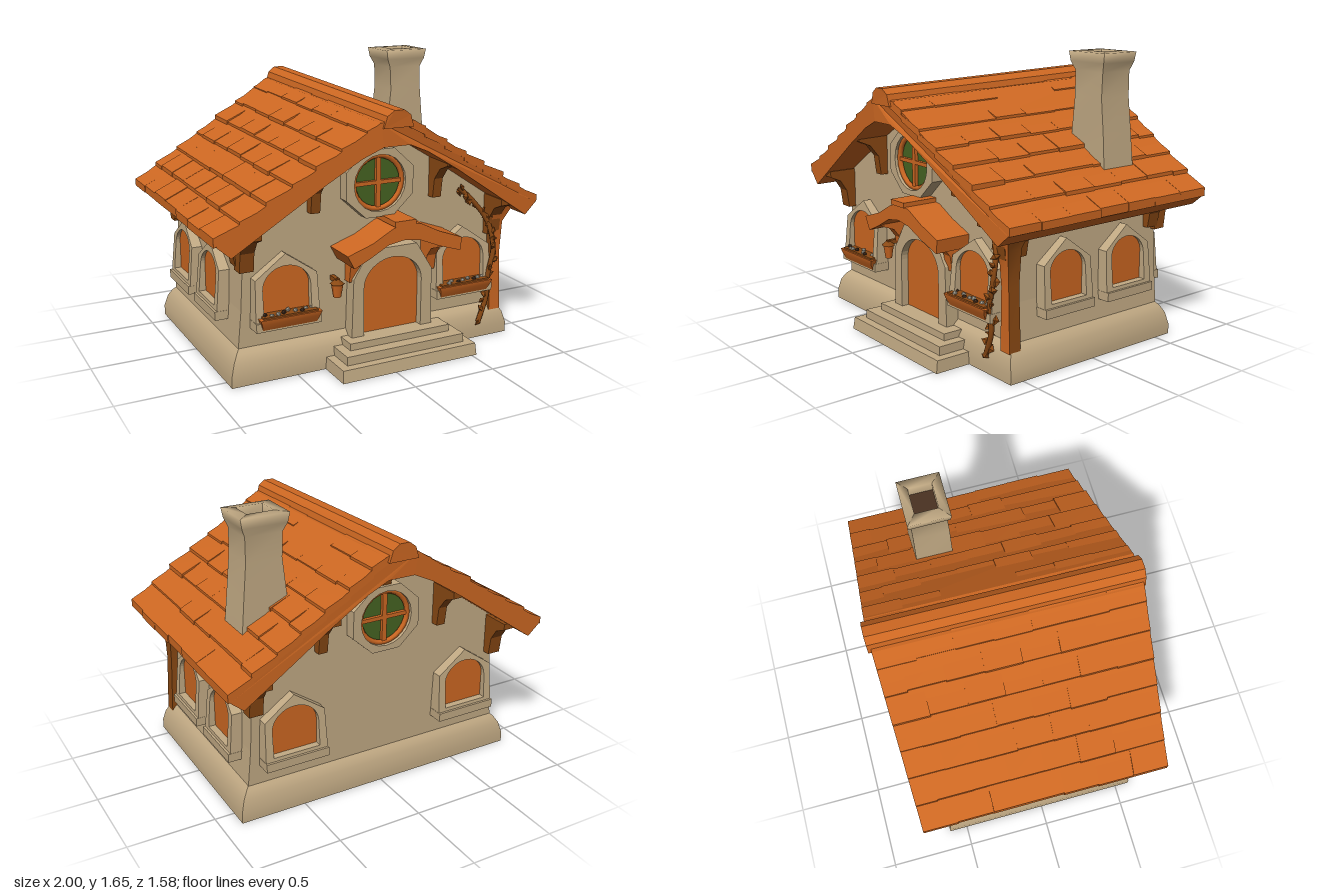
import * as THREE from 'three';

const mat = (name, color) => Object.assign(new THREE.MeshStandardMaterial({ color }), { name });
const plaster = mat('plaster', 0xc2aa84);
const orange = mat('orange tile and wood', 0xce6822);
const brown = mat('brown timber', 0x8c4a14);
const glass = mat('green glass', 0x466422);
const soot = mat('dark soot', 0x4a3222);
const petal = mat('pale petals', 0xbcb6a6);

let seed = 7;
const rnd = () => (seed = (seed * 16807) % 2147483647) / 2147483647 - 0.5;

function add(parent, name, geo, material, x = 0, y = 0, z = 0) {
  const m = new THREE.Mesh(geo, material);
  m.name = name;
  m.position.set(x, y, z);
  parent.add(m);
  return m;
}
const poly = pts => new THREE.Shape(pts.map(p => new THREE.Vector2(p[0], p[1])));
const extrude = (shape, depth) => new THREE.ExtrudeGeometry(shape, { depth, bevelEnabled: false, curveSegments: 10 });
const box = (w, h, d) => new THREE.BoxGeometry(w, h, d);

// Box whose horizontal sections follow rings [y, x0, x1, z0, z1]
function ringBox(rings) {
  const n = rings.length - 1, g = new THREE.BoxGeometry(1, 1, 1, 1, n, 1), p = g.attributes.position;
  for (let i = 0; i < p.count; i++) {
    const [y, x0, x1, z0, z1] = rings[Math.round((p.getY(i) + 0.5) * n)];
    p.setXYZ(i, p.getX(i) < 0 ? x0 : x1, y, p.getZ(i) < 0 ? z0 : z1);
  }
  g.computeVertexNormals();
  return g;
}

// Round-topped opening standing on y = 0
function arch(w, h) {
  const s = new THREE.Shape(), r = w / 2, k = h - r * 0.85;
  s.moveTo(-r, 0);
  s.lineTo(r, 0);
  s.lineTo(r, k);
  s.absellipse(0, k, r, h - k, 0, Math.PI, false);
  s.lineTo(-r, 0);
  return s;
}

// Arched window with a pointed plaster surround, facing +z
function archWindow(w) {
  const g = new THREE.Group();
  g.name = 'archedWindow';
  const o = w / 2 + 0.04;
  const frame = poly([[-o - 0.01, -0.07], [o + 0.01, -0.07], [o, 0.21], [0, 0.335], [-o, 0.21]]);
  frame.holes.push(arch(w, 0.27));
  const fg = extrude(frame, 0.08), p = fg.attributes.position;
  for (let i = 0; i < p.count; i++) if (p.getZ(i) > 0.01) p.setZ(i, 0.08 - 0.09 * p.getY(i));
  fg.computeVertexNormals();
  add(g, 'windowSurround', fg, plaster);
  add(g, 'windowPane', extrude(arch(w, 0.27), 0.009), orange, 0, 0, 0.03);
  add(g, 'windowSill', box(2 * o + 0.02, 0.05, 0.1), plaster, 0, -0.045, 0.045);
  return g;
}

// Curved roof bracket reaching out along +z
function bracket(parent, x, y, z, w, h = 0.25, reach = 0.19) {
  const s = poly([[-0.03, 0], [0.045, 0], [0.06, h * 0.45], [reach * 0.6, h * 0.72], [reach, h * 0.85], [reach, h], [-0.03, h]]);
  const geo = extrude(s, w).translate(0, 0, -w / 2).rotateY(-Math.PI / 2);
  return add(parent, 'roofBracket', geo, brown, x, y, z);
}

// Everything shared by the front and back walls
function gableEnd() {
  const g = new THREE.Group();
  for (const s of [-1, 1]) {
    const win = archWindow(0.28);
    win.position.set(s * 0.56, 0.37, 0);
    g.add(win);
    bracket(g, s * 0.38, 0.9, 0, 0.055);
    bracket(g, s * 0.78, 0.63, 0, 0.08, 0.24, 0.17);
  }
  bracket(g, 0, 1.19, 0, 0.07, 0.14, 0.18);
  const oct = [...Array(8)].map((_, i) => {
    const a = (i + 0.5) * Math.PI / 4;
    return [0.225 * Math.cos(a), 0.205 * Math.sin(a)];
  });
  const ring = poly(oct);
  ring.holes.push(new THREE.Path().absarc(0, 0, 0.16, 0, Math.PI * 2, true));
  add(g, 'roundWindowSurround', extrude(ring, 0.07), plaster, 0, 1.03, 0);
  add(g, 'roundGlass', new THREE.CircleGeometry(0.16, 24), glass, 0, 1.03, 0.03);
  add(g, 'roundWindowRim', new THREE.TorusGeometry(0.15, 0.016, 6, 24), orange, 0, 1.03, 0.04);
  add(g, 'upright', box(0.028, 0.3, 0.02), orange, 0, 1.03, 0.04);
  add(g, 'crossbar', box(0.3, 0.022, 0.02), orange, 0, 1.03, 0.04);
  return g;
}

// Roof: section extruded to the slanted gable ends, ridge rising to the back
const frontZ = x => 0.775 - 0.09 * Math.abs(x);
const backZ = x => -0.765 + 0.02 * Math.abs(x);
function roofPrism(pts, t0 = 0, t1 = 1) {
  const g = extrude(poly(pts), 1), p = g.attributes.position;
  for (let i = 0; i < p.count; i++) {
    const x = p.getX(i), t = p.getZ(i) > 0.5 ? t1 : t0;
    const z = backZ(x) + (frontZ(x) - backZ(x)) * t;
    p.setZ(i, z);
    p.setY(i, p.getY(i) - 0.03 * z * Math.max(0, 1 - Math.abs(x)));
  }
  g.computeVertexNormals();
  return g;
}

function buildRoof(root) {
  const roof = new THREE.Group();
  roof.name = 'roof';
  root.add(roof);
  const half = [[0.1, 1.42], [0.4, 1.225], [0.98, 0.865], [0.985, 0.83], [0.91, 0.765], [0.4, 1.11], [0.2, 1.235], [0.08, 1.29]];
  const mirror = half.map(([x, y]) => [-x, y]).reverse();
  add(roof, 'roofSlab', roofPrism([...half, ...mirror]), orange);
  // Overlapping tile courses
  const top = x => 1.475 - 0.615 * x, rows = 7, step = 0.136;
  for (const s of [-1, 1]) for (let r = 0; r < rows; r++) {
    const a = 0.035 + r * step, b = a + step + 0.008, count = 7;
    for (let k = 0; k < count; k++) {
      const j = rnd() * 0.012, e = rnd() * 0.012;
      const off = r % 2 ? 0.5 / count : 0;
      const t0 = k ? k / count - off * 0.8 : 0, t1 = k === count - 1 ? 1 : (k + 1) / count - off * 0.8;
      const q = [[a, top(a) - 0.05], [b + e, top(b) - 0.035], [b + e, top(b) + 0.012 + j], [a, top(a) - 0.012 + j]];
      add(roof, 'roofTile', roofPrism(s > 0 ? q : q.map(([x, y]) => [-x, y]).reverse(), t0, t1), orange);
    }
  }
  add(roof, 'ridgeCap', roofPrism([[-0.09, 1.39], [0.09, 1.39], [0.07, 1.455], [0.03, 1.485], [-0.03, 1.485], [-0.07, 1.455]], -0.012, 1.008), orange);
}

function buildPorch(root) {
  const porch = new THREE.Group();
  porch.name = 'porch';
  root.add(porch);
  const bottom = [plaster, plaster, plaster, soot, plaster, plaster];
  add(porch, 'lowerStep', ringBox([[0, -0.33, 0.53, 0.3, 0.8], [0.07, -0.325, 0.525, 0.3, 0.79]]), bottom);
  add(porch, 'middleStep', box(0.75, 0.055, 0.4), plaster, 0.1, 0.0925, 0.54);
  add(porch, 'upperStep', box(0.64, 0.045, 0.34), plaster, 0.1, 0.1375, 0.5);
  const surround = poly([[-0.26, 0], [0.26, 0], [0.25, 0.34], [0.15, 0.5], [-0.15, 0.5], [-0.25, 0.34]]);
  surround.holes.push(arch(0.37, 0.44));
  add(porch, 'doorSurround', extrude(surround, 0.1), plaster, 0.085, 0.16, 0.5);
  add(porch, 'door', extrude(arch(0.37, 0.44), 0.02), orange, 0.085, 0.16, 0.535);
  const canopy = [[-0.27, 0.69], [-0.12, 0.74], [0, 0.805], [0.08, 0.83], [0.18, 0.815], [0.3, 0.755], [0.45, 0.7],
    [0.44, 0.625], [0.3, 0.67], [0.18, 0.72], [0.08, 0.735], [-0.02, 0.72], [-0.14, 0.655], [-0.23, 0.615]].reverse();
  add(porch, 'canopy', extrude(poly(canopy), 0.23), orange, 0, 0, 0.5);
  add(porch, 'canopyRidge', box(0.13, 0.03, 0.24), orange, 0.08, 0.83, 0.615);
  for (const x of [-0.15, 0.34]) bracket(porch, x, 0.48, 0.53, 0.06, 0.2, 0.17).material = orange;
}

function buildFrontDetails(root) {
  // Flower boxes
  for (const x of [-0.555, 0.555]) {
    const b = new THREE.Group();
    b.name = 'flowerBox';
    b.position.set(x, 0, 0);
    root.add(b);
    add(b, 'trough', ringBox([[0.3, -0.155, 0.155, 0.52, 0.61], [0.35, -0.17, 0.17, 0.52, 0.635], [0.375, -0.18, 0.18, 0.52, 0.64]]), orange);
    add(b, 'soil', box(0.32, 0.02, 0.08), brown, 0, 0.375, 0.59);
    for (let i = 0; i < 9; i++)
      add(b, 'flower', new THREE.IcosahedronGeometry(0.014, 0), i % 3 ? petal : soot, -0.14 + i * 0.035, 0.388 + rnd() * 0.01, 0.6 + rnd() * 0.04);
  }
  // Corner post, darker on its sides
  add(root, 'cornerPost', ringBox([[0.15, 0.775, 0.85, 0.49, 0.565], [0.5, 0.775, 0.835, 0.49, 0.56], [0.7, 0.765, 0.84, 0.48, 0.57], [0.84, 0.74, 0.9, 0.45, 0.62]]),
    [brown, brown, brown, brown, orange, brown]);
  // Lantern
  add(root, 'lanternArm', box(0.025, 0.025, 0.09), brown, -0.26, 0.51, 0.55);
  add(root, 'lantern', new THREE.CylinderGeometry(0.035, 0.022, 0.08, 6), orange, -0.26, 0.455, 0.585);
  add(root, 'lanternCap', new THREE.ConeGeometry(0.042, 0.035, 6), brown, -0.26, 0.51, 0.585);
  // Climbing vine
  const path = new THREE.CatmullRomCurve3([[0.55, 0.93, 0.53], [0.65, 0.83, 0.55], [0.74, 0.7, 0.57], [0.76, 0.55, 0.6],
    [0.73, 0.4, 0.6], [0.73, 0.25, 0.59], [0.68, 0.1, 0.59]].map(p => new THREE.Vector3(...p)));
  add(root, 'vineStem', new THREE.TubeGeometry(path, 30, 0.016, 5), brown);
  for (let i = 0; i < 22; i++) {
    const p = path.getPoint(i / 21);
    const leaf = add(root, 'vineLeaf', new THREE.OctahedronGeometry(0.03), brown, p.x + rnd() * 0.05, p.y, p.z + rnd() * 0.03);
    leaf.scale.set(1, 0.8, 0.5);
    leaf.rotation.set(rnd() * 2, rnd() * 2, rnd() * 3);
  }
}

export function createModel() {
  const root = new THREE.Group();
  root.name = 'cottage';

  // Plinth and walls
  const plinth = [[0, 0.885, -0.61, 0.585], [0.06, 0.885, -0.61, 0.585], [0.13, 0.865, -0.595, 0.57], [0.17, 0.84, -0.575, 0.545], [0.2, 0.81, -0.55, 0.51]];
  add(root, 'plinth', ringBox(plinth.map(([y, x, b, f]) => [y, -x, x, b, f])), [plaster, plaster, plaster, soot, plaster, plaster]);
  const wall = poly([[-0.825, 0.14], [0.825, 0.14], [0.8, 0.4], [0.775, 0.87], [0.4, 1.13], [0, 1.36], [-0.4, 1.13], [-0.775, 0.87], [-0.8, 0.4]]);
  add(root, 'walls', extrude(wall, 1.08), plaster, 0, 0, -0.56);

  // Gable ends
  const front = gableEnd(), back = gableEnd();
  front.name = 'frontGable';
  front.position.z = 0.52;
  back.name = 'backGable';
  back.position.z = -0.56;
  back.rotation.y = Math.PI;
  root.add(front, back);

  // Side windows and eave brackets
  for (const s of [-1, 1]) {
    for (const z of [0.17, -0.28]) {
      const w = archWindow(0.25);
      w.position.set(s * 0.79, 0.37, z);
      w.rotation.y = s * Math.PI / 2;
      root.add(w);
    }
    for (const z of [0.47, -0.51]) bracket(root, s * 0.775, 0.65, z, 0.08, 0.18, 0.14).rotation.y = s * Math.PI / 2;
  }

  buildRoof(root);

  // Chimney with a hollow top
  add(root, 'chimney', ringBox([[0.98, 0.485, 0.755, -0.405, -0.18], [1.2, 0.485, 0.735, -0.4, -0.185], [1.4, 0.505, 0.715, -0.395, -0.185],
    [1.54, 0.5, 0.715, -0.395, -0.19], [1.59, 0.475, 0.735, -0.41, -0.175], [1.645, 0.465, 0.745, -0.415, -0.17],
    [1.65, 0.53, 0.685, -0.36, -0.225], [1.58, 0.53, 0.685, -0.36, -0.225]]), [plaster, plaster, soot, plaster, plaster, plaster]);

  buildPorch(root);
  buildFrontDetails(root);
  return root;
}
